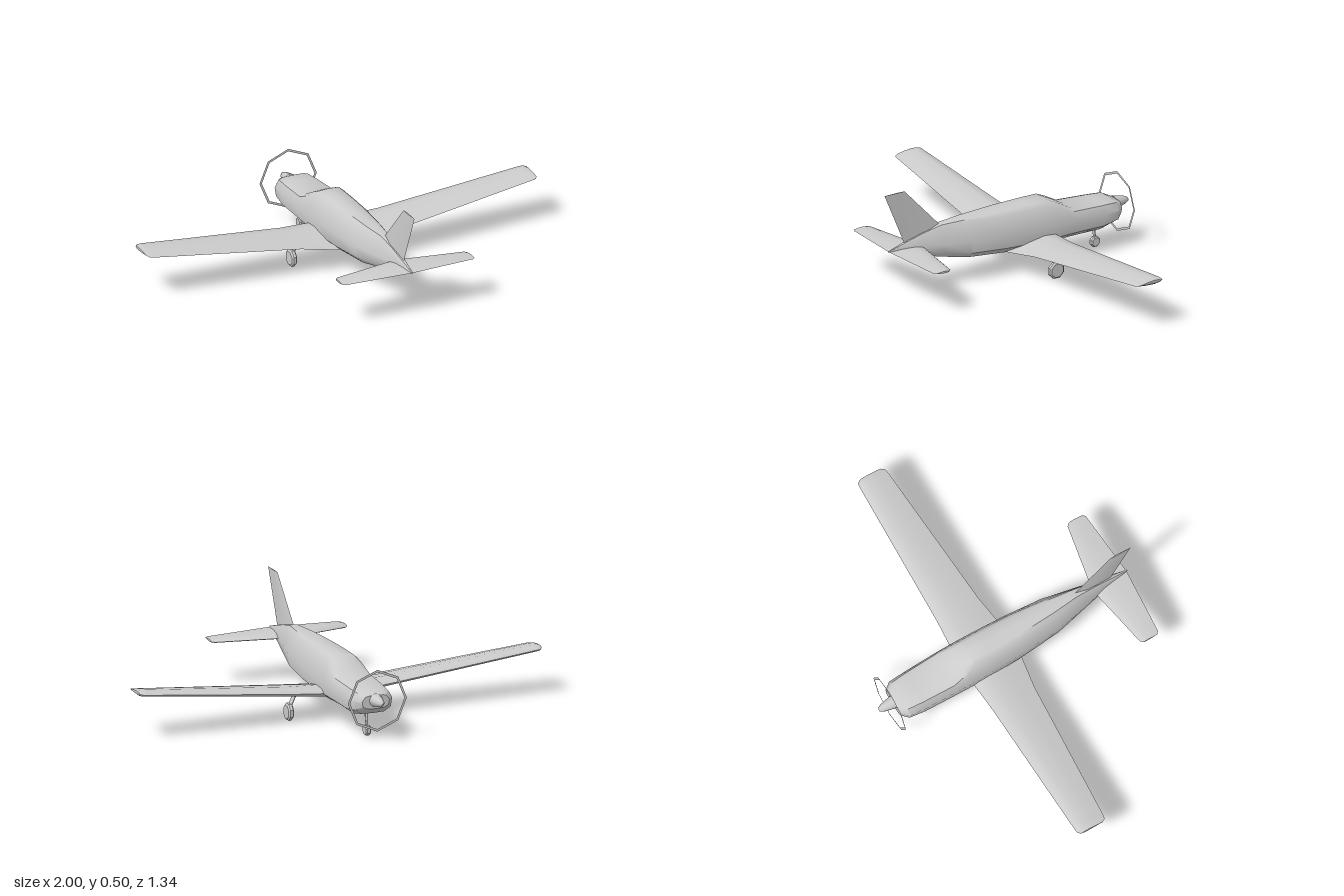
import * as THREE from 'three';
import { toCreasedNormals } from 'three/addons/utils/BufferGeometryUtils.js';

const material = new THREE.MeshStandardMaterial({ color: 0xcccccc, side: THREE.DoubleSide });

// Skins equal-length rings of [x, y, z] points and closes both ends.
function loft(rings, crease = 0.7) {
  const n = rings[0].length, index = [];
  for (let i = 0; i < rings.length - 1; i++) {
    for (let j = 0; j < n; j++) {
      const a = i * n + j, b = i * n + (j + 1) % n, c = b + n, d = a + n;
      index.push(a, d, b, b, d, c);
    }
  }
  const last = (rings.length - 1) * n;
  for (let j = 1; j < n - 1; j++) index.push(0, j, j + 1, last, last + j + 1, last + j);
  const geometry = new THREE.BufferGeometry();
  geometry.setAttribute('position', new THREE.Float32BufferAttribute(rings.flat(2), 3));
  geometry.setIndex(index);
  return toCreasedNormals(geometry, crease);
}

// Fuselage section: belly, widest and roof heights, half width, roof-to-waist ratio.
function bodyRing([z, bottom, mid, top, w, taper]) {
  const half = [
    [0.58 * w, bottom + 0.03 * (mid - bottom)],
    [0.93 * w, bottom + 0.35 * (mid - bottom)],
    [w, mid],
    [taper * w, top - 0.2 * (top - mid)],
    [0.7 * taper * w, top - 0.03 * (top - mid)],
  ];
  const right = half.map(([x, y]) => [x, y, z]);
  const left = half.map(([x, y]) => [-x, y, z]).reverse();
  return [[0, bottom, z], ...right, [0, top, z], ...left];
}

// Airfoil section: span position, leading and trailing z and y, thickness.
function foilRing([x, zl, zt, yl, yt, t]) {
  const at = (f, k) => [x, yl + (yt - yl) * f + k * t, zl + (zt - zl) * f];
  return [at(1, 0), at(0.65, 0.38), at(0.3, 0.55), at(0.07, 0.35), at(0, 0),
    at(0.07, -0.3), at(0.3, -0.45), at(0.65, -0.3)];
}

// Full-span surface made by mirroring the stations of one side.
function span(stations) {
  const other = stations.map(([x, ...rest]) => [-x, ...rest]).reverse();
  return loft([...other, ...stations].map(foilRing), 0.9);
}

function strut(from, to, r1, r2, flatten = 1) {
  const a = new THREE.Vector3(...from), b = new THREE.Vector3(...to);
  const dir = b.clone().sub(a);
  const geometry = new THREE.CylinderGeometry(r2, r1, dir.length(), 8);
  geometry.scale(flatten, 1, 1);
  geometry.applyQuaternion(new THREE.Quaternion().setFromUnitVectors(
    new THREE.Vector3(0, 1, 0), dir.normalize()));
  const mid = a.add(b).multiplyScalar(0.5);
  return toCreasedNormals(geometry.translate(mid.x, mid.y, mid.z), 0.9);
}

// Eight-sided tyre with bevelled shoulders, axle along x.
function wheel(x, y, z, r, width) {
  const h = width / 2;
  const profile = [[0, -h], [r * 0.8, -h], [r, -h * 0.5], [r, h * 0.5], [r * 0.8, h], [0, h]];
  const geometry = new THREE.LatheGeometry(profile.map(p => new THREE.Vector2(...p)), 8);
  geometry.rotateY(Math.PI / 8).rotateZ(Math.PI / 2).translate(x, y, z);
  return toCreasedNormals(geometry, 0.5);
}

export function createModel() {
  const group = new THREE.Group();
  const add = (name, geometry) => {
    const mesh = new THREE.Mesh(geometry, material);
    mesh.name = name;
    group.add(mesh);
  };

  // Body from tail to cowling: z, bottom, mid, top, half width, roof taper
  add('fuselage', loft([
    [0.65, 0.219, 0.221, 0.223, 0.003, 0.8],
    [0.56, 0.193, 0.22, 0.25, 0.018, 0.6],
    [0.47, 0.17, 0.217, 0.278, 0.035, 0.5],
    [0.37, 0.146, 0.213, 0.302, 0.056, 0.5],
    [0.24, 0.12, 0.208, 0.306, 0.084, 0.58],
    [0.05, 0.105, 0.203, 0.31, 0.1, 0.66],
    [-0.1, 0.1, 0.2, 0.311, 0.106, 0.68],
    [-0.2, 0.1, 0.198, 0.31, 0.108, 0.68],
    [-0.25, 0.105, 0.197, 0.287, 0.108, 0.74],
    [-0.32, 0.107, 0.195, 0.248, 0.107, 0.82],
    [-0.48, 0.105, 0.19, 0.24, 0.102, 0.8],
    [-0.56, 0.125, 0.19, 0.235, 0.096, 0.78],
    [-0.595, 0.155, 0.192, 0.218, 0.068, 0.78],
  ].map(bodyRing)));

  // Low wing with dihedral and a widened root
  add('wings', span([
    [0.08, -0.225, 0.04, 0.138, 0.112, 0.055],
    [0.25, -0.214, 0.01, 0.15, 0.138, 0.04],
    [0.97, -0.2, -0.05, 0.222, 0.216, 0.03],
    [0.99, -0.197, -0.054, 0.224, 0.218, 0.027],
    [1, -0.182, -0.072, 0.226, 0.222, 0.015],
  ]));

  add('tailplane', span([
    [0.005, 0.465, 0.645, 0.212, 0.219, 0.02],
    [0.325, 0.525, 0.622, 0.212, 0.215, 0.015],
    [0.338, 0.54, 0.61, 0.212, 0.214, 0.01],
  ]));

  // Swept fin: height, leading z, trailing z, half thickness
  add('fin', loft([
    [0.24, 0.314, 0.56, 0.013],
    [0.31, 0.38, 0.589, 0.008],
    [0.5, 0.56, 0.67, 0.003],
  ].map(([y, zl, zt, h]) => {
    const zm = zl + (zt - zl) * 0.35;
    return [[h, y, zm], [0, y, zt], [-h, y, zm], [0, y, zl]];
  }), 0.4));

  // Spinner and the eight-sided propeller ring
  const cone = [[0.032, 0], [0.027, 0.025], [0.019, 0.06], [0.01, 0.077], [0, 0.08]];
  const spinner = new THREE.LatheGeometry(cone.map(p => new THREE.Vector2(...p)), 12);
  add('spinner', spinner.rotateX(-Math.PI / 2).translate(0, 0.195, -0.592));
  add('propellerRing', new THREE.RingGeometry(0.135, 0.147, 8, 1, Math.PI / 2)
    .translate(0, 0.197, -0.613));

  // Landing gear
  for (const [side, s] of [['left', 1], ['right', -1]]) {
    add(`${side}MainWheel`, wheel(s * 0.232, 0.041, -0.12, 0.042, 0.027));
    add(`${side}MainStrut`, strut([s * 0.23, 0.06, -0.12], [s * 0.196, 0.135, -0.118], 0.014, 0.016, 0.5));
  }
  add('noseWheel', wheel(0, 0.026, -0.49, 0.0265, 0.026));
  add('noseStrut', strut([0, 0.04, -0.49], [0, 0.115, -0.48], 0.006, 0.009));

  return group;
}
